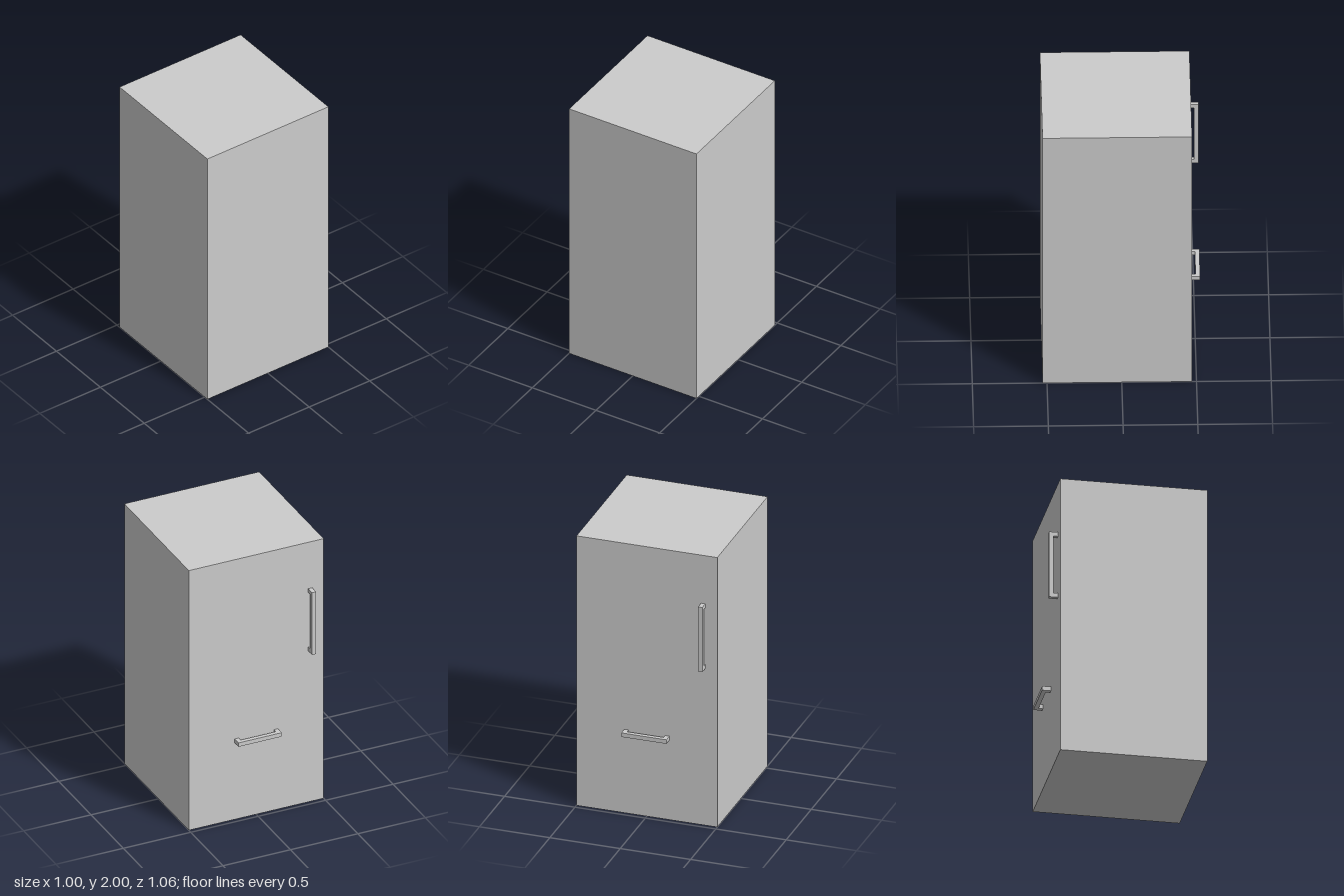
import * as THREE from 'three';

const material = new THREE.MeshStandardMaterial({ color: 0xcccccc, flatShading: true });
const BACK = -0.47; // z of the face that carries the handles
const BAR = 0.03; // thickness of the handle bars
const REACH = 0.06; // how far the handles stand out

// U-shaped pull handle: lies along x, feet at z = 0, grip towards -z
function createHandle(name, length) {
  const h = length / 2;
  const shape = new THREE.Shape([
    [-h, 0], [-h, REACH], [h, REACH], [h, 0],
    [h - BAR, 0], [h - BAR, REACH - BAR], [BAR - h, REACH - BAR], [BAR - h, 0],
  ].map(([x, y]) => new THREE.Vector2(x, y)));
  const geometry = new THREE.ExtrudeGeometry(shape, { depth: BAR, bevelEnabled: false });
  geometry.translate(0, 0, -BAR / 2);
  geometry.rotateX(-Math.PI / 2);
  const handle = new THREE.Mesh(geometry, material);
  handle.name = name;
  return handle;
}

export function createModel() {
  const model = new THREE.Group();
  model.name = 'cabinet';

  // Plain box body
  const body = new THREE.Mesh(new THREE.BoxGeometry(1, 2, 1), material);
  body.name = 'body';
  body.position.set(0, 1, BACK + 0.5);

  // Upright handle near the edge of the upper part
  const upperHandle = createHandle('upperHandle', 0.48);
  upperHandle.rotation.z = Math.PI / 2;
  upperHandle.position.set(-0.4, 1.403, BACK);

  // Level handle centred on the lower part
  const lowerHandle = createHandle('lowerHandle', 0.32);
  lowerHandle.position.set(0, 0.605, BACK);

  model.add(body, upperHandle, lowerHandle);
  return model;
}
